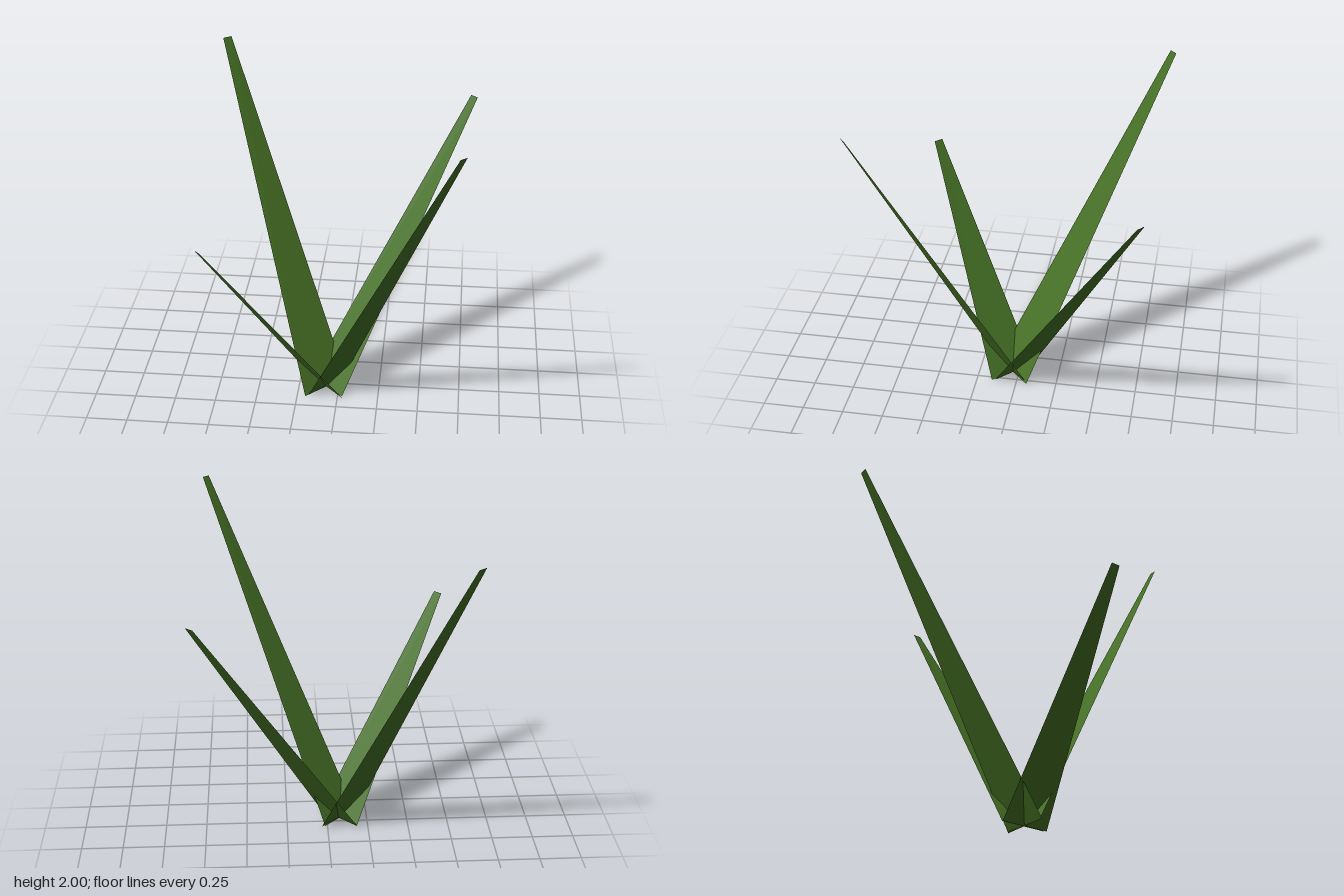
import * as THREE from 'three';

// Grass tuft: four flat tapering blades that lean outward and cross at the base.
export function createModel() {
  const group = new THREE.Group();
  group.name = 'grassTuft';
  const green = new THREE.MeshStandardMaterial({ color: 0x446f24, side: THREE.DoubleSide, flatShading: true });
  green.name = 'leaf green';

  // Each blade: two ground corners and two tip corners as [x, z], plus tip height.
  const blades = [
    { name: 'backRightBlade', base: [[-0.2, 0.155], [0.035, -0.065]], tip: [[-0.79, -0.80], [-0.745, -0.835]], height: 1.975 },
    { name: 'backLeftBlade', base: [[-0.185, -0.07], [0.028, 0.138]], tip: [[0.745, -0.80], [0.785, -0.765]], height: 1.655 },
    { name: 'frontLeftBlade', base: [[0.015, -0.06], [-0.18, 0.138]], tip: [[0.725, 0.795], [0.69, 0.825]], height: 2.0 },
    { name: 'frontRightBlade', base: [[0.03, 0.155], [-0.182, -0.068]], tip: [[-0.71, 0.65], [-0.75, 0.61]], height: 1.275 },
  ];

  for (const { name, base, tip, height } of blades) {
    const corners = [
      ...base.map(([x, z]) => new THREE.Vector3(x, 0, z)),
      ...tip.map(([x, z]) => new THREE.Vector3(x, height, z)),
    ];
    const geometry = new THREE.BufferGeometry().setFromPoints(corners);
    // Wind the faces so the upper side of the blade is the front.
    const normal = new THREE.Triangle(corners[0], corners[1], corners[3]).getNormal(new THREE.Vector3());
    geometry.setIndex(normal.y > 0 ? [0, 1, 3, 0, 3, 2] : [0, 3, 1, 0, 2, 3]);
    geometry.computeVertexNormals();
    const blade = new THREE.Mesh(geometry, green);
    blade.name = name;
    group.add(blade);
  }
  return group;
}
